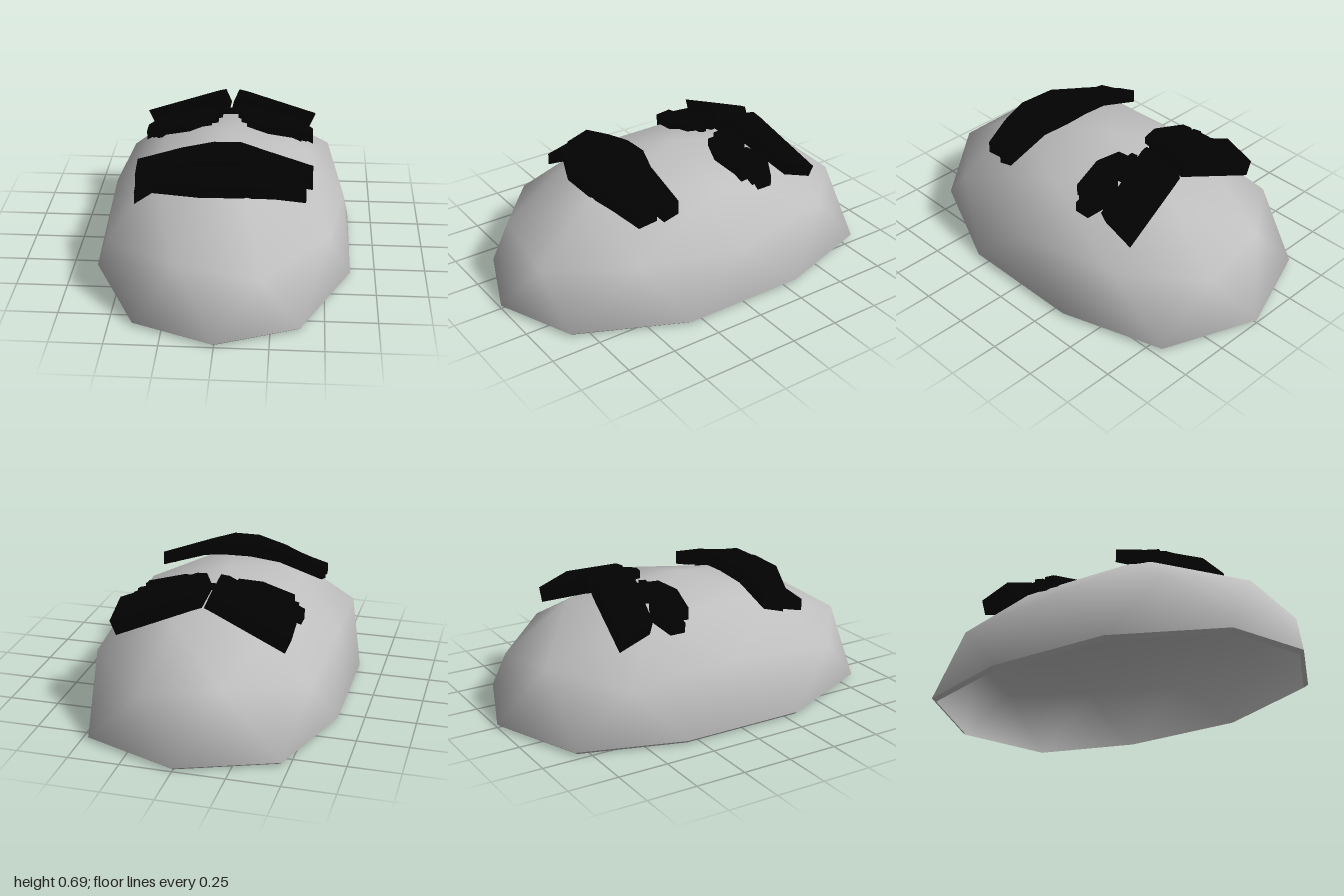
import * as THREE from 'three';

const shellGrey = new THREE.MeshStandardMaterial({ color: 0xc0c0c0 });
shellGrey.name = 'shell grey';
const paintBlack = new THREE.MeshStandardMaterial({ color: 0x020202 });
paintBlack.name = 'feature black';

// Swell of each level of the dome in x and z: rim, shoulder, crown, peak
function swell(y, z) {
  if (y < 0.01) {
    if (z < -0.5) return z < -0.9 ? [1, 1] : [1.2, 1.015]; // brow end is broader
    return z > 0.5 && z < 0.9 ? [1, 1.04] : [1, 1.03 - 0.03 * Math.abs(z)];
  }
  if (y < 0.6) {
    if (Math.abs(z) > 0.7) return z > 0 ? [1.1, 1.04] : [1.05, 1.01];
    return Math.abs(z) > 0.3 ? [1.13, 1.07] : [1, 1];
  }
  return [1.15, 1.08];
}

// Upper half of a once-divided icosahedron, shaped to an oval dome
function dome(rx, height, rz, base, inward) {
  const ico = new THREE.IcosahedronGeometry(1, 1);
  ico.rotateZ(-Math.atan(2 / (1 + Math.sqrt(5)))); // one corner on top, one towards +x
  const p = ico.attributes.position;
  const pos = [], normal = [];
  const sign = inward ? -1 : 1;
  for (let i = 0; i < p.count; i += 3) {
    if (p.getY(i) + p.getY(i + 1) + p.getY(i + 2) < 0.01) continue;
    for (const j of inward ? [i, i + 2, i + 1] : [i, i + 1, i + 2]) {
      const x = p.getX(j), y = Math.max(0, p.getY(j)), z = p.getZ(j);
      const [fx, fz] = swell(y, z);
      pos.push(x * rx * fx, base + y * height, z * rz * fz);
      const n = new THREE.Vector3(x / rx, y / height, z / rz).normalize();
      normal.push(n.x * sign, n.y * sign, n.z * sign);
    }
  }
  const g = new THREE.BufferGeometry();
  g.setAttribute('position', new THREE.Float32BufferAttribute(pos, 3));
  g.setAttribute('normal', new THREE.Float32BufferAttribute(normal, 3));
  return g;
}

// Flat-faced geometry from a list of four-cornered faces
function faceted(quads) {
  const pos = [];
  for (const [a, b, c, d] of quads) pos.push(...a, ...b, ...c, ...a, ...c, ...d);
  const g = new THREE.BufferGeometry();
  g.setAttribute('position', new THREE.Float32BufferAttribute(pos, 3));
  g.computeVertexNormals();
  return g;
}

// Ten-sided bevelled strip between the edges of the two domes
function rimStrip([rxOut, rzOut, yOut], [rxIn, rzIn, yIn]) {
  const corner = (i, rx, rz, y) => {
    const a = (i / 10) * Math.PI * 2, z = Math.cos(a);
    const [fx, fz] = swell(0, z);
    return [Math.sin(a) * rx * fx, y, z * rz * fz];
  };
  const quads = [];
  for (let i = 0; i < 10; i++) {
    quads.push([
      corner(i, rxIn, rzIn, yIn), corner(i + 1, rxIn, rzIn, yIn),
      corner(i + 1, rxOut, rzOut, yOut), corner(i, rxOut, rzOut, yOut),
    ]);
  }
  return faceted(quads);
}

// Slab along x; sections are [x, yBack, zBack, yFront, zFront] of the top face,
// and the bottom face is moved down by thick and sideways by lean
function slab(sections, thick, lean = 0) {
  const s = sections.map(([x, yb, zb, yf, zf]) => [
    [x, yb, zb], [x, yf, zf], [x + lean, yf - thick, zf], [x + lean, yb - thick, zb],
  ]);
  const quads = [];
  for (let i = 0; i < s.length - 1; i++) {
    for (let k = 0; k < 4; k++) {
      const n = (k + 1) % 4;
      quads.push([s[i][k], s[i][n], s[i + 1][n], s[i + 1][k]]);
    }
  }
  const a = s[0], b = s[s.length - 1];
  quads.push([a[0], a[3], a[2], a[1]], b);
  return faceted(quads);
}

const mirrored = (sections) => sections.map(([x, ...r]) => [-x, ...r]).reverse();

export function createModel() {
  const model = new THREE.Group();
  model.name = 'faceMask';
  const add = (name, geometry, material) => {
    const m = new THREE.Mesh(geometry, material);
    m.name = name;
    model.add(m);
  };

  // Hollow shell: outer face, inner face and thin rim
  add('outerShell', dome(0.66, 0.605, 1, 0.02, false), shellGrey);
  add('innerShell', dome(0.64, 0.585, 0.978, 0.004, true), shellGrey);
  add('rim', rimStrip([0.66, 1, 0.02], [0.64, 0.978, 0.004]), shellGrey);

  // Mouth: two overlapping bent lips
  add('upperLip', slab([
    [-0.42, 0.575, 0.245, 0.54, 0.36], [-0.2, 0.645, 0.25, 0.62, 0.4],
    [-0.05, 0.67, 0.23, 0.655, 0.42], [0.08, 0.67, 0.225, 0.655, 0.42],
    [0.2, 0.645, 0.26, 0.62, 0.4], [0.43, 0.57, 0.26, 0.55, 0.34],
  ], 0.07), paintBlack);
  add('lowerLip', slab([
    [-0.41, 0.54, 0.36, 0.51, 0.48], [-0.33, 0.575, 0.36, 0.55, 0.44],
    [-0.1, 0.64, 0.38, 0.585, 0.545], [0.1, 0.64, 0.38, 0.59, 0.55],
    [0.25, 0.605, 0.38, 0.57, 0.51], [0.4, 0.54, 0.36, 0.53, 0.46],
  ], 0.06), paintBlack);

  // Brows and eyes, one set for each side
  const pairs = {
    Brow: [[[0.035, 0.66, -0.48, 0.69, -0.285], [0.08, 0.645, -0.49, 0.69, -0.295],
      [0.44, 0.505, -0.55, 0.565, -0.39]], 0.07, -0.03],
    InnerLid: [[[0.04, 0.64, -0.33, 0.635, -0.27], [0.2, 0.615, -0.3, 0.605, -0.24]], 0.05, 0],
    OuterLid: [[[0.23, 0.6, -0.29, 0.595, -0.2], [0.33, 0.575, -0.34, 0.575, -0.22],
      [0.43, 0.525, -0.29, 0.525, -0.21]], 0.05, 0],
    EyeBar: [[[0.06, 0.635, -0.25, 0.63, -0.21], [0.4, 0.56, -0.25, 0.55, -0.2]], 0.06, 0],
    LowerLid: [[[0.09, 0.63, -0.23, 0.625, -0.155], [0.2, 0.62, -0.22, 0.605, -0.115],
      [0.37, 0.575, -0.21, 0.57, -0.155]], 0.06, 0],
  };
  for (const [name, [sections, thick, lean]] of Object.entries(pairs)) {
    add('left' + name, slab(sections, thick, lean), paintBlack);
    add('right' + name, slab(mirrored(sections), thick, -lean), paintBlack);
  }

  // Thin strip joining the brows
  add('noseBridge', slab([[-0.08, 0.635, -0.285, 0.635, -0.27], [0.08, 0.635, -0.285, 0.635, -0.27]], 0.03), paintBlack);

  return model;
}
